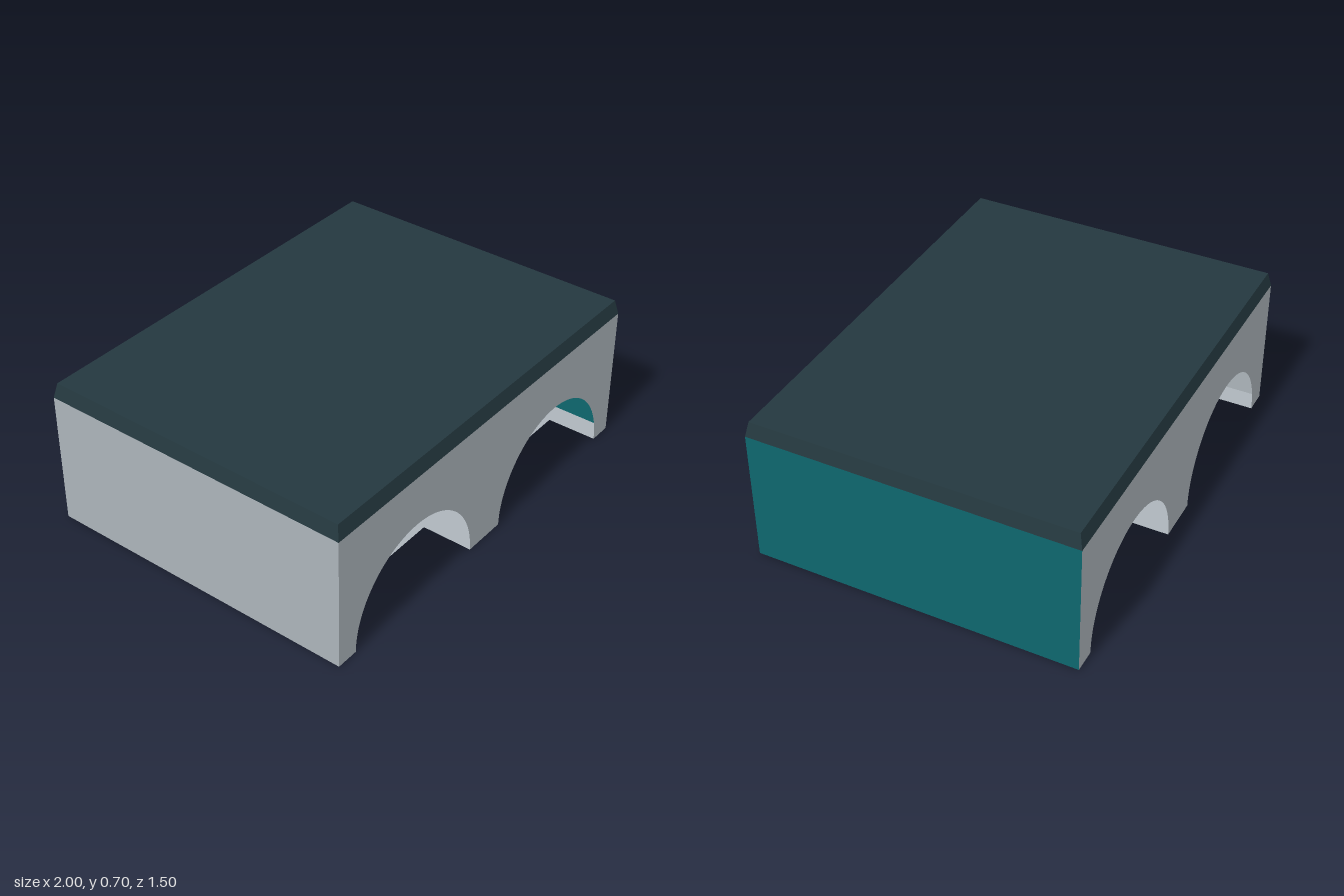
import * as THREE from 'three';

const W = 1, D = 0.75, H = 0.63;               // half width, half depth, wall height
const ARCH_X = 0.5, ARCH_R = 0.393, NOTCH = 0.24;

const mat = (name, color) => {
  const m = new THREE.MeshStandardMaterial({ color, side: THREE.DoubleSide });
  m.name = name;
  return m;
};

function addPart(group, name, geometry, material) {
  const mesh = new THREE.Mesh(geometry, material);
  mesh.name = name;
  group.add(mesh);
  return mesh;
}

// Wall outline with two half-round openings along its foot
function archWallShape() {
  const s = new THREE.Shape();
  s.moveTo(-W, 0);
  for (const x of [-ARCH_X, ARCH_X]) {
    s.lineTo(x - ARCH_R, 0);
    s.absarc(x, 0, ARCH_R, Math.PI, 0, true);
  }
  s.lineTo(W, 0);
  s.lineTo(W, H);
  s.lineTo(-W, H);
  s.closePath();
  return s;
}

// Floor outline with a notch behind each arch, front and back
function floorShape() {
  const s = new THREE.Shape();
  s.moveTo(-W, -D);
  for (const side of [1, -1]) {
    for (const x of [-ARCH_X, ARCH_X]) {
      const y = -side * D, yIn = -side * (D - NOTCH);
      s.lineTo(side * (x - ARCH_R), y);
      s.lineTo(side * (x - ARCH_R), yIn);
      s.lineTo(side * (x + ARCH_R), yIn);
      s.lineTo(side * (x + ARCH_R), y);
    }
    s.lineTo(side * W, -side * D);
    if (side === 1) s.lineTo(W, D);
  }
  s.closePath();
  return s;
}

export function createModel() {
  const model = new THREE.Group();
  model.name = 'archedBlock';
  const grey = mat('wall grey', 0xacb4ba);
  const teal = mat('side teal', 0x0e676e);
  const slate = mat('roof slate', 0x24383f);

  // Thin arched walls at the front and back
  const arches = new THREE.ShapeGeometry(archWallShape(), 48);
  addPart(model, 'frontWall', arches, grey).position.z = D;
  const back = addPart(model, 'backWall', arches, grey);
  back.position.z = -D;
  back.rotation.y = Math.PI;

  // Plain end walls, one painted
  for (const [name, side, material] of [['leftWall', 1, teal], ['rightWall', -1, grey]]) {
    const wall = addPart(model, name, new THREE.PlaneGeometry(2 * D, H), material);
    wall.position.set(side * W, H / 2, 0);
    wall.rotation.y = side * Math.PI / 2;
  }

  // Notched floor and ceiling sheets
  addPart(model, 'floor', new THREE.ShapeGeometry(floorShape()), grey).rotation.x = -Math.PI / 2;
  const ceiling = addPart(model, 'ceiling', new THREE.PlaneGeometry(2 * W, 2 * D), grey);
  ceiling.rotation.x = Math.PI / 2;
  ceiling.position.y = H - 0.003;

  // Roof slab, tapering slightly towards the top
  const roof = new THREE.BoxGeometry(2 * W, 0.07, 2 * D);
  const p = roof.attributes.position;
  for (let i = 0; i < p.count; i++) {
    if (p.getY(i) > 0) {
      p.setX(i, Math.sign(p.getX(i)) * (W - 0.015));
      p.setZ(i, Math.sign(p.getZ(i)) * (D - 0.015));
    }
  }
  const flatRoof = roof.toNonIndexed();
  flatRoof.computeVertexNormals();
  addPart(model, 'roof', flatRoof, slate).position.y = H + 0.035;

  return model;
}
